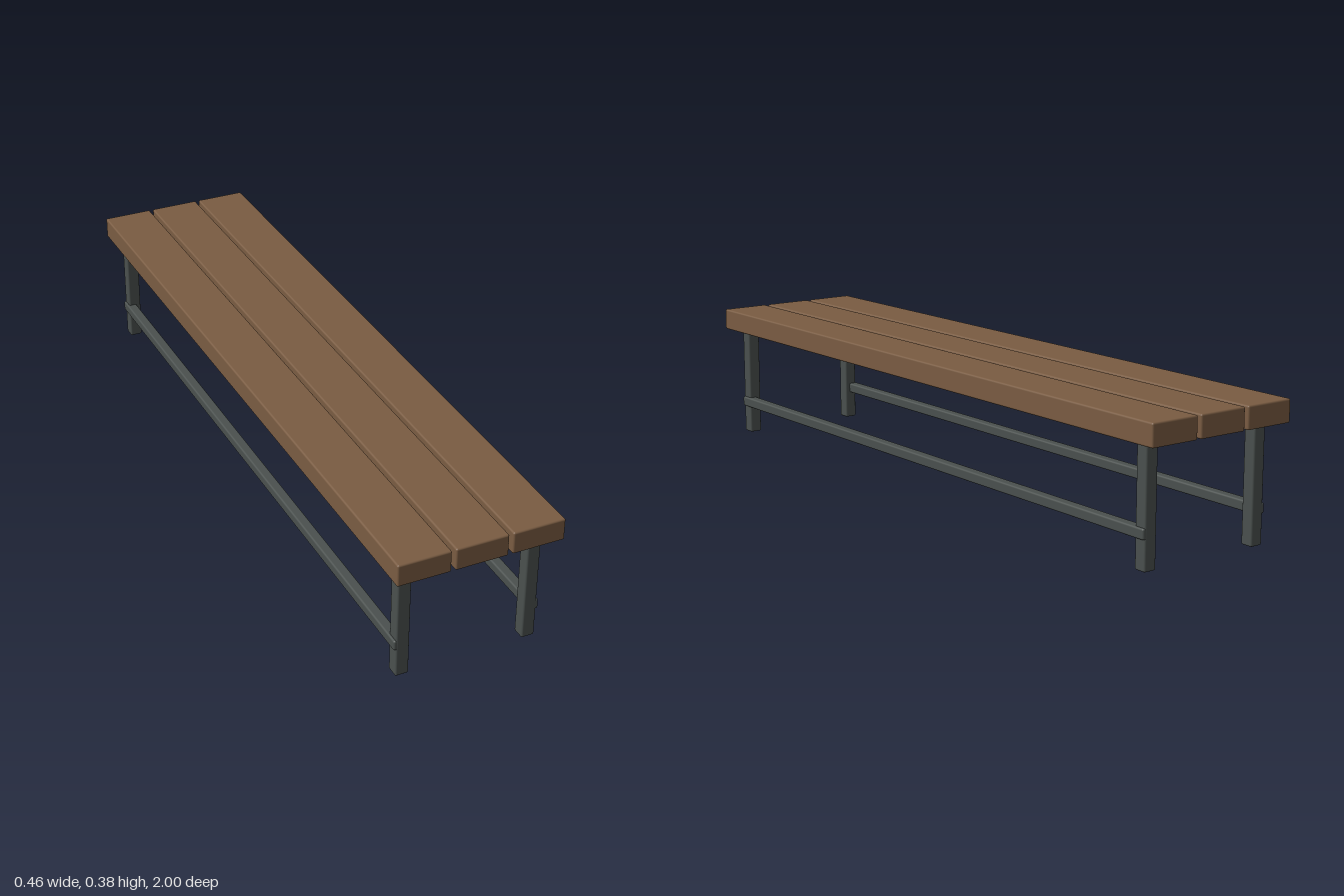
import * as THREE from 'three';
import { RoundedBoxGeometry } from 'three/addons/geometries/RoundedBoxGeometry.js';

export function createModel() {
  const bench = new THREE.Group();
  bench.name = 'bench';

  const wood = new THREE.MeshStandardMaterial({ color: 0x7a5c42 });
  const steel = new THREE.MeshStandardMaterial({ color: 0x4a504e });

  // Softly rounded bar, placed by its centre
  function bar(name, material, [w, h, d], [x, y, z], radius) {
    const mesh = new THREE.Mesh(new RoundedBoxGeometry(w, h, d, 2, radius), material);
    mesh.name = name;
    mesh.position.set(x, y, z);
    bench.add(mesh);
  }

  // Three seat planks with narrow gaps
  for (const i of [-1, 0, 1]) {
    bar('seatPlank', wood, [0.145, 0.062, 2], [i * 0.156, 0.353, 0], 0.005);
  }

  for (const side of [-1, 1]) {
    // Square legs near each end
    for (const end of [-1, 1]) {
      bar('leg', steel, [0.037, 0.325, 0.037], [side * 0.179, 0.1625, end * 0.928], 0.005);
    }
    // Long rail joining the two legs, set slightly outward
    bar('sideRail', steel, [0.029, 0.029, 1.892], [side * 0.189, 0.096, 0], 0.005);
  }

  return bench;
}
